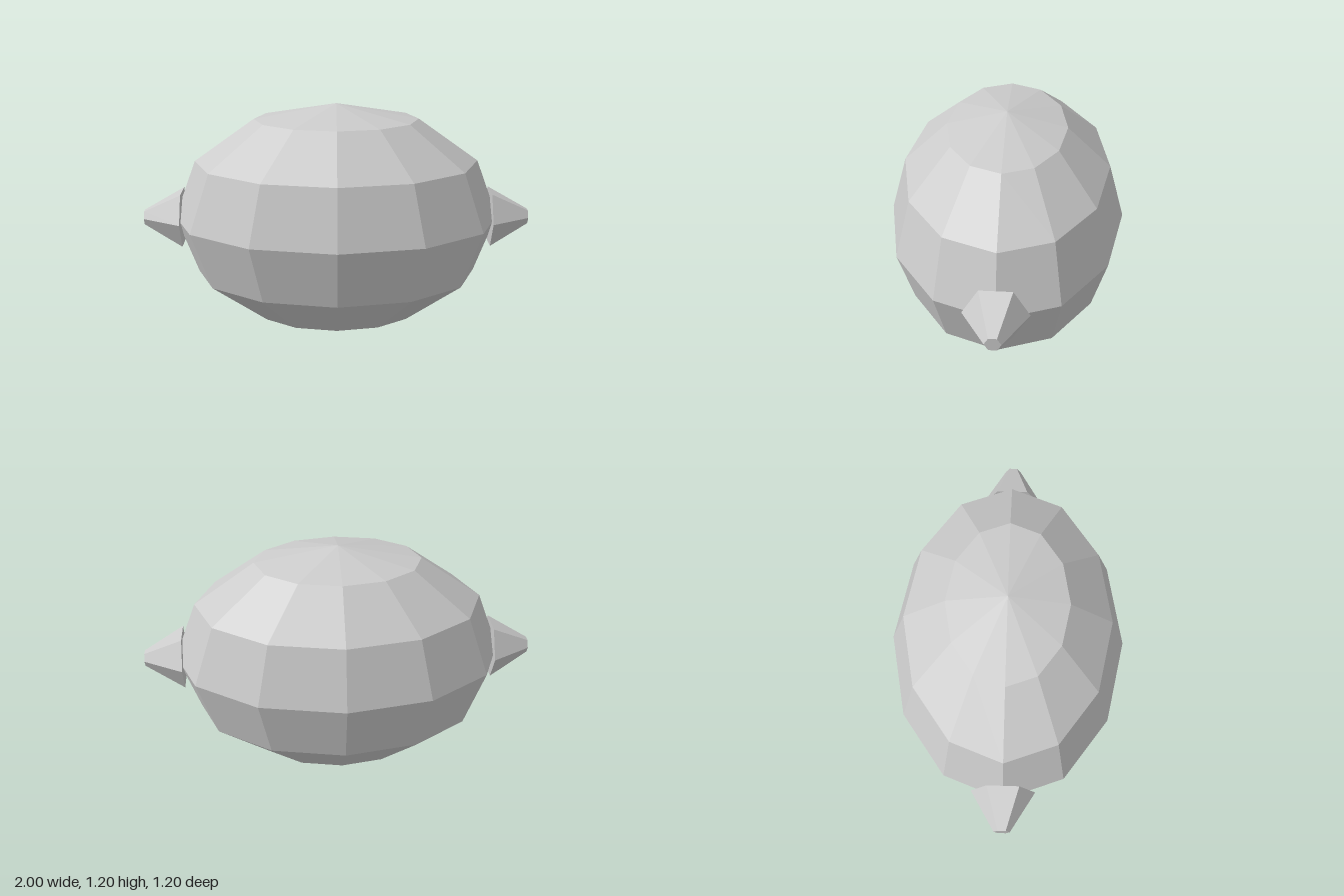
import * as THREE from 'three';

export function createModel() {
  const group = new THREE.Group();
  const material = new THREE.MeshStandardMaterial({ color: 0xcccccc, flatShading: true });

  // Faceted fruit body, stretched sideways
  const bodyGeometry = new THREE.SphereGeometry(0.6, 12, 6);
  bodyGeometry.scale(1.4, 1, 1);
  const body = new THREE.Mesh(bodyGeometry, material);
  body.name = 'body';
  body.position.y = 0.6;
  group.add(body);

  // Six-sided tapered tip at each end
  for (const side of [1, -1]) {
    const tip = new THREE.Mesh(new THREE.CylinderGeometry(0.04, 0.16, 0.2, 6), material);
    tip.name = side > 0 ? 'leftTip' : 'rightTip';
    tip.rotation.z = -side * Math.PI / 2;
    tip.position.set(side * 0.9, 0.6, 0);
    group.add(tip);
  }

  return group;
}
